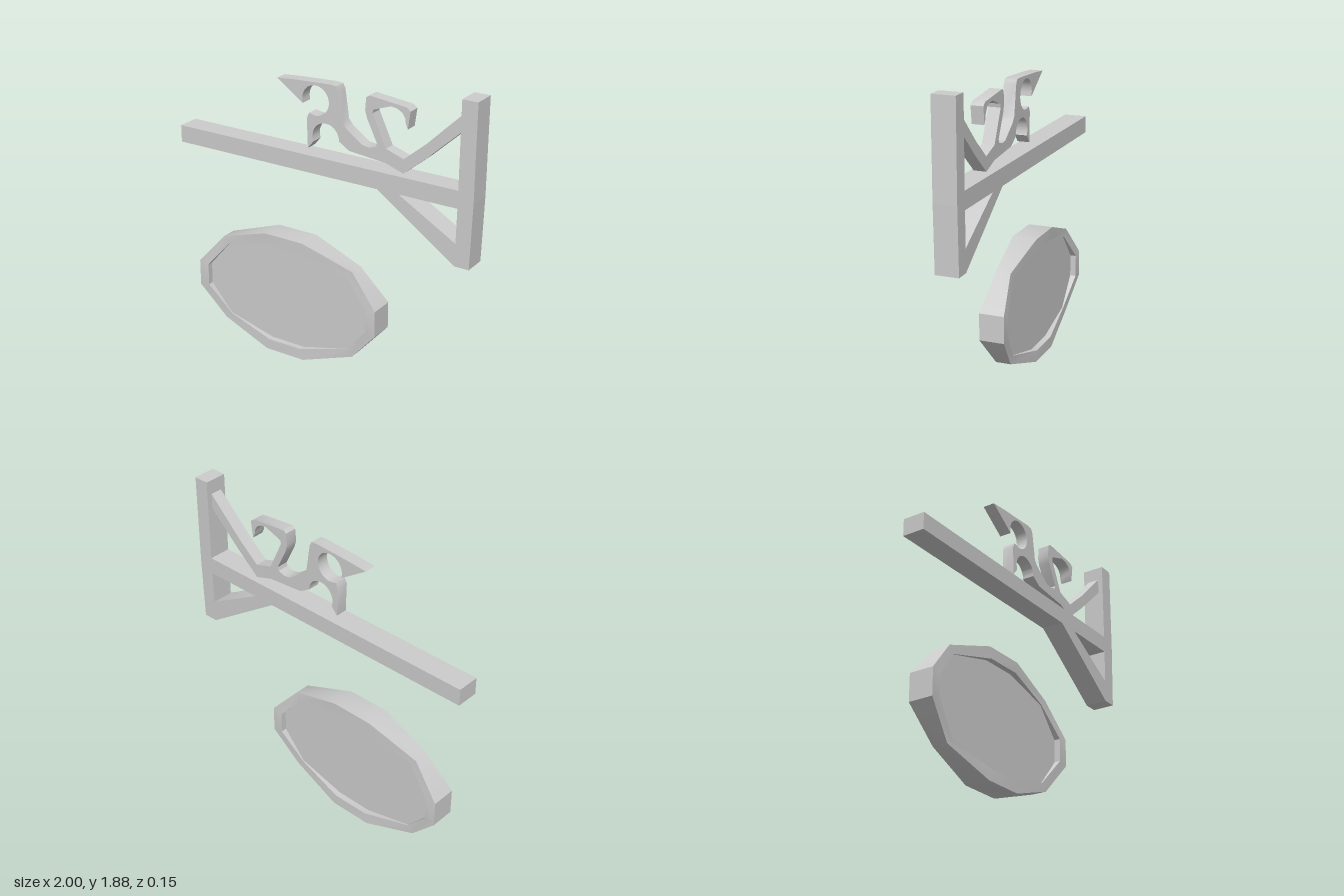
import * as THREE from 'three';
import { toCreasedNormals } from 'three/addons/utils/BufferGeometryUtils.js';

const material = new THREE.MeshStandardMaterial({ color: 0xcccccc });

function addMesh(group, name, geometry) {
  const mesh = new THREE.Mesh(geometry, material);
  mesh.name = name;
  group.add(mesh);
  return mesh;
}

function addBox(group, name, x0, x1, y0, y1, depth) {
  const mesh = addMesh(group, name, new THREE.BoxGeometry(x1 - x0, y1 - y0, depth));
  mesh.position.set((x0 + x1) / 2, (y0 + y1) / 2, 0);
}

// Extrudes a shape centred on z = 0
function plate(shape, depth, crease = 0.6) {
  const geometry = new THREE.ExtrudeGeometry(shape, { depth, bevelEnabled: false, curveSegments: 20 });
  geometry.translate(0, 0, -depth / 2);
  return toCreasedNormals(geometry, crease);
}

function polygon(points) {
  return new THREE.Shape(points.map(([x, y]) => new THREE.Vector2(x, y)));
}

// Twelve-sided loop mirrored from one quadrant of [x, y, z] corners, counterclockwise
function loop(quadrant, zOf) {
  const flipped = [...quadrant].reverse();
  const all = [
    ...quadrant,
    ...flipped.map(([x, y, z]) => [-x, y, z]),
    ...quadrant.map(([x, y, z]) => [-x, -y, z]),
    ...flipped.map(([x, y, z]) => [x, -y, z]),
  ];
  return all.map(([x, y, z]) => [x, y, zOf(z)]);
}

// Hanging board: raised wavy rim around a recessed panel on both faces
function boardGeometry() {
  const outer = [[0.645, 0.083, 0.077], [0.47, 0.283, 0.047], [0.135, 0.395, 0.077]];
  const inner = [[0.58, 0.069, 0.077], [0.43, 0.243, 0.047], [0.118, 0.325, 0.077]];
  const panel = 0.04;
  const rings = [
    loop(inner, () => panel),
    loop(inner, (z) => z),
    loop(outer, (z) => z),
    loop(outer, (z) => -z),
    loop(inner, (z) => -z),
    loop(inner, () => -panel),
  ];
  const positions = [];
  const tri = (a, b, c) => positions.push(...a, ...b, ...c);
  const n = rings[0].length;
  for (let i = 0; i < n; i++) {
    const j = (i + 1) % n;
    tri([0, 0, panel], rings[0][i], rings[0][j]);
    for (let r = 0; r < rings.length - 1; r++) {
      tri(rings[r][i], rings[r + 1][i], rings[r][j]);
      tri(rings[r][j], rings[r + 1][i], rings[r + 1][j]);
    }
    tri([0, 0, -panel], rings[5][j], rings[5][i]);
  }
  const geometry = new THREE.BufferGeometry();
  geometry.setAttribute('position', new THREE.Float32BufferAttribute(positions, 3));
  geometry.computeVertexNormals();
  return toCreasedNormals(geometry, 0.55);
}

// Scrolled ironwork with its diagonal stay
function scrollShape() {
  const shape = new THREE.Shape();
  const lines = (points) => points.forEach(([x, y]) => shape.lineTo(x, y));
  shape.moveTo(-0.3, 1.775);
  lines([
    [-0.18, 1.785], [0.06, 1.797], [0.1, 1.793], [0.115, 1.765], // beak top and neck
    [0.142, 1.59], [0.17, 1.556], [0.275, 1.482], [0.32, 1.475], [0.365, 1.488], [0.372, 1.51],
    [0.305, 1.645], [0.292, 1.69], [0.298, 1.765], [0.318, 1.78], // rear hook, outside
    [0.555, 1.755], [0.58, 1.735], [0.566, 1.63],
    [0.552, 1.66], [0.548, 1.69], [0.528, 1.72], [0.495, 1.738], [0.458, 1.743], // rear hook, inside
    [0.345, 1.703], [0.34, 1.68], [0.43, 1.49],
    [0.545, 1.453], [0.68, 1.567], [0.91, 1.792], // stay
    [0.91, 1.695], [0.685, 1.485], [0.545, 1.367],
    [0.43, 1.405], [0.19, 1.427], [0.122, 1.47],
  ]);
  shape.absarc(0.032, 1.47, 0.09, 0, Math.PI * 1.12, false);
  lines([[-0.091, 1.388], [-0.097, 1.57], [-0.082, 1.603]]);
  shape.absarc(-0.037, 1.684, 0.09, -Math.PI / 2, Math.PI * 1.06, false);
  lines([[-0.124, 1.655]]);
  shape.closePath();
  return shape;
}

export function createModel() {
  const group = new THREE.Group();
  group.name = 'hangingSign';

  // Wall post and beam
  const post = polygon([[0.9, 0.905], [0.99, 0.905], [1, 1.3], [1, 1.875], [0.905, 1.875], [0.905, 1.3]]);
  addMesh(group, 'post', plate(post, 0.14, 0.01));
  addBox(group, 'beam', -1, 0.91, 1.252, 1.358, 0.14);

  // Brace below the beam
  const brace = polygon([[0.39, 1.255], [0.53, 1.255], [0.905, 1.04], [0.905, 0.905], [0.9, 0.905]]);
  addMesh(group, 'lowerBrace', plate(brace, 0.14));

  // Flared foot where the stay meets the post
  const foot = new THREE.CylinderGeometry(Math.SQRT1_2, Math.SQRT1_2, 1, 4, 1).rotateY(Math.PI / 4).toNonIndexed();
  const p = foot.attributes.position;
  for (let i = 0; i < p.count; i++) {
    const base = p.getY(i) < 0;
    p.setXYZ(i, base ? 0.906 : 0.888, 1.74 - p.getX(i) * (base ? 0.17 : 0.1), p.getZ(i) * (base ? 0.13 : 0.075));
  }
  // The mapping turns +y into -x and +x into -y, so the winding is kept
  foot.computeVertexNormals();
  addMesh(group, 'stayFoot', foot);

  addMesh(group, 'scrollOrnament', plate(scrollShape(), 0.075));

  const board = addMesh(group, 'signBoard', boardGeometry());
  board.position.set(-0.245, 0.395, 0);

  return group;
}
